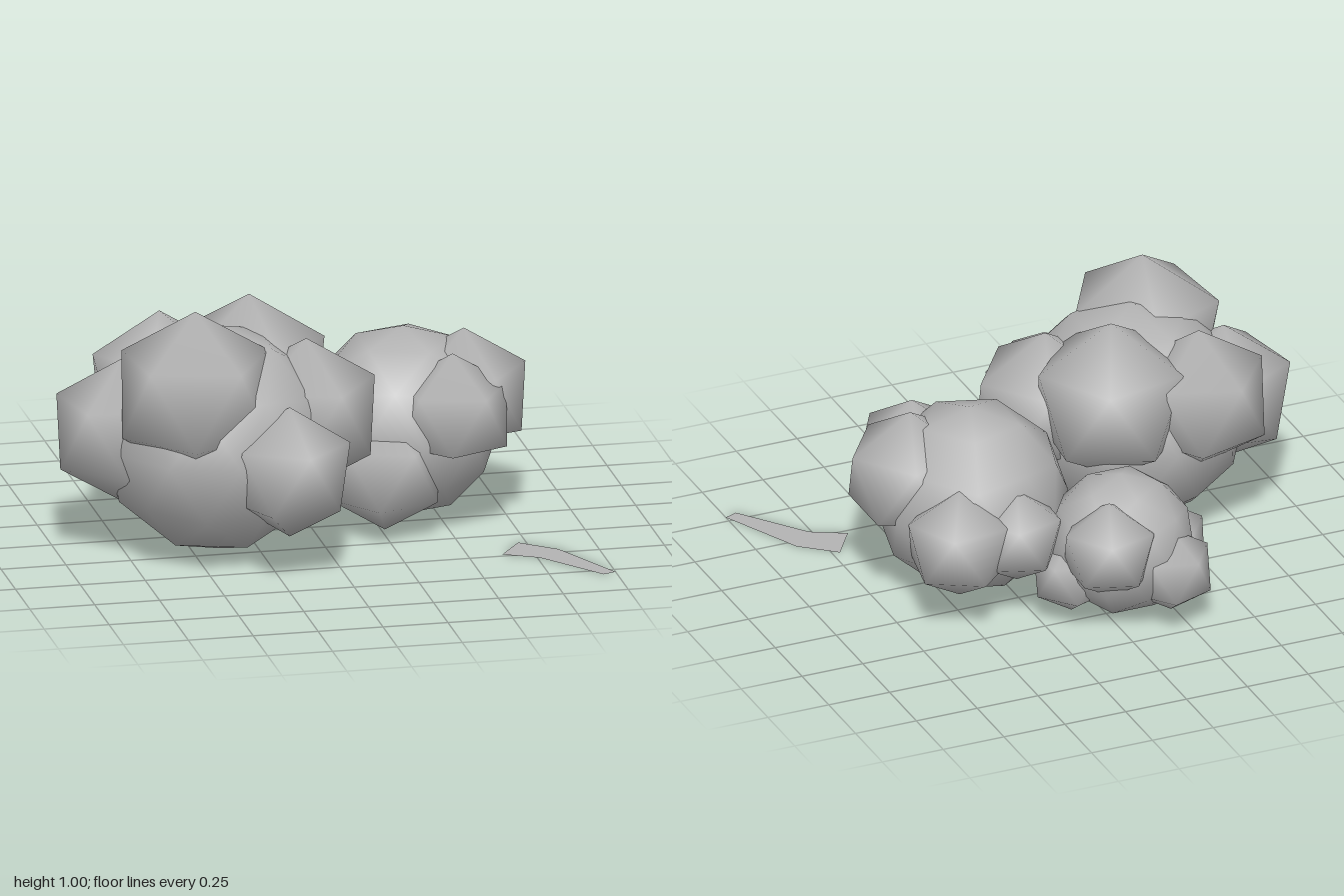
import * as THREE from 'three';

const stone = new THREE.MeshStandardMaterial({ color: 0xb4b4b4, side: THREE.DoubleSide });
stone.name = 'stone grey';

// Rounded lump with one corner pointing up; "facing" turns an upper shoulder towards that angle
// (0 = +x, 90 = +z) and "depth" cuts the underside flat at that share of the radius
function lump(name, [x, y, z, r, facing, depth = 1], detail) {
  const g = new THREE.IcosahedronGeometry(r, detail);
  g.rotateZ(Math.atan(2 / (1 + Math.sqrt(5))));
  g.rotateY(Math.PI - THREE.MathUtils.degToRad(facing));
  const p = g.attributes.position;
  const v = new THREE.Vector3();
  for (let i = 0; i < p.count; i++) {
    v.fromBufferAttribute(p, i).normalize();
    g.attributes.normal.setXYZ(i, v.x, v.y, v.z);
    p.setY(i, Math.max(p.getY(i), -depth * r));
  }
  const m = new THREE.Mesh(g, stone);
  m.name = name;
  m.position.set(x, y, z);
  return m;
}

// Each clump: a round core and the lumps growing out of it [x, y, z, radius, facing, depth]
const clumps = [
  {
    name: 'largeClump', core: [-0.41, 0.45, 0.2, 0.44, 180],
    lumps: [
      [-0.525, 0.675, 0.355, 0.325, 138],
      [-0.24, 0.62, 0, 0.32, 222],
      [-0.2, 0.4, 0.53, 0.255, 82],
      [-0.76, 0.48, 0.13, 0.28, 205],
      [-0.07, 0.53, 0.23, 0.295, 0],
      [-0.57, 0.59, -0.07, 0.285, 254],
    ],
  },
  {
    name: 'mediumClump', core: [0.37, 0.38, -0.07, 0.37, 0],
    lumps: [
      [0.59, 0.48, -0.01, 0.265, 0, 0.42],
      [0.51, 0.46, 0.155, 0.24, 66, 0.44],
      [0.255, 0.255, 0.13, 0.24, 71],
      [0.53, 0.335, -0.335, 0.22, -61],
      [0.31, 0.34, -0.37, 0.19, -70],
    ],
  },
  {
    name: 'smallClump', core: [-0.07, 0.29, -0.48, 0.28, -90],
    lumps: [
      [-0.2, 0.22, -0.65, 0.17, -110],
      [0.04, 0.34, -0.62, 0.195, -70],
      [-0.26, 0.24, -0.47, 0.165, 180],
      [-0.2, 0.18, -0.37, 0.155, 150],
      [0.13, 0.19, -0.47, 0.16, -40],
    ],
  },
];

// Flat bent blade lying on the ground
function blade() {
  const outline = [[0.63, 0.48], [0.72, 0.35], [0.85, 0.46], [1, 0.78], [0.95, 0.8], [0.76, 0.55]];
  const shape = new THREE.Shape(outline.map(([x, z]) => new THREE.Vector2(x, -z)));
  const m = new THREE.Mesh(new THREE.ShapeGeometry(shape).rotateX(-Math.PI / 2), stone);
  m.name = 'groundBlade';
  return m;
}

export function createModel() {
  const model = new THREE.Group();
  model.name = 'lumpyClumps';
  for (const c of clumps) {
    const group = new THREE.Group();
    group.name = c.name;
    group.add(lump('core', c.core, 1));
    c.lumps.forEach((l, i) => group.add(lump(`lump${i + 1}`, l, 0)));
    model.add(group);
  }
  model.add(blade());
  return model;
}
